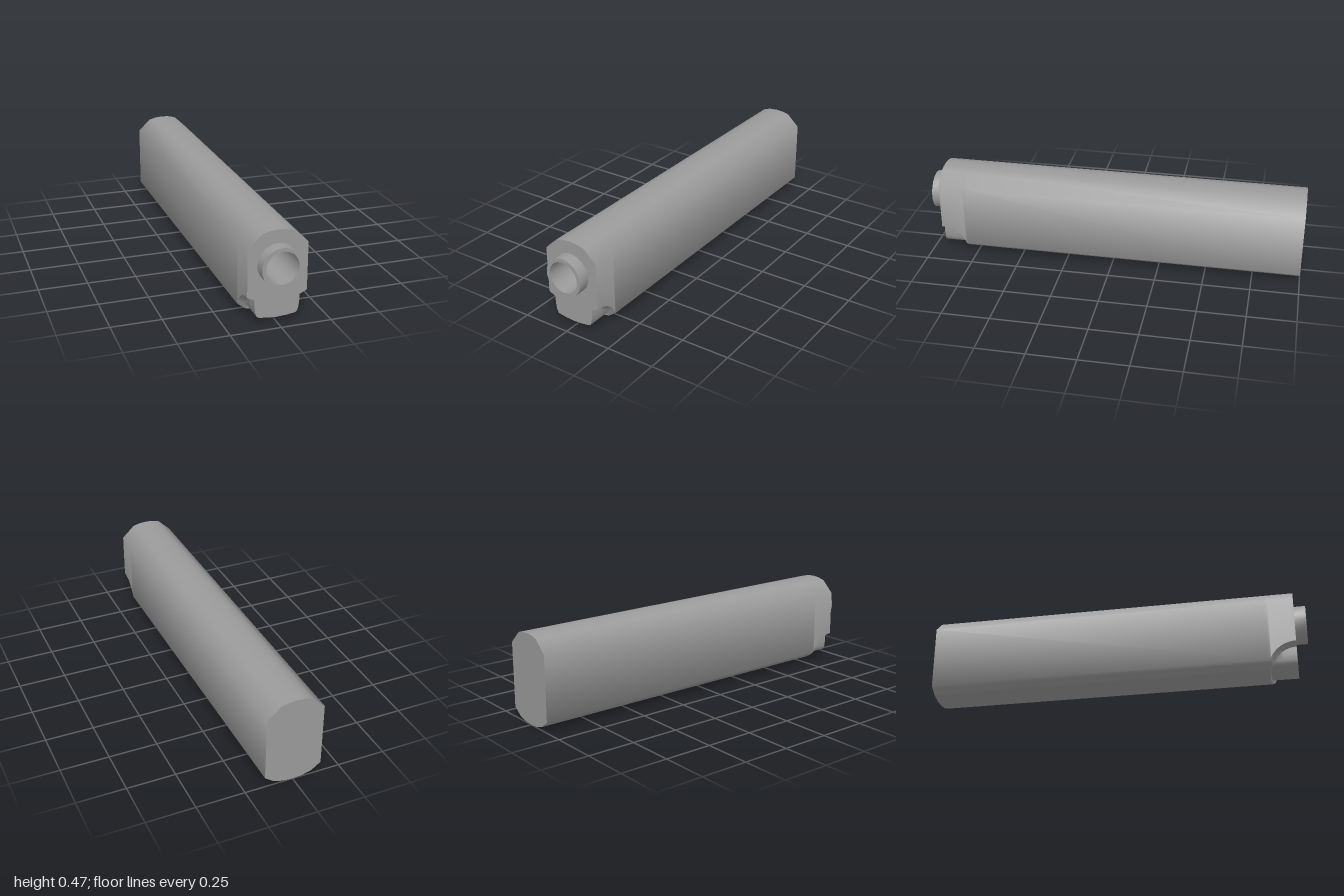
import * as THREE from 'three';
import { toCreasedNormals, mergeGeometries } from 'three/addons/utils/BufferGeometryUtils.js';

const BACK = -1, FRONT = 0.94, NOTCH = 0.145, BORE_Y = 0.299, BORE_R = 0.082, SIDES = 18;

// Half outlines as [x, y]: underside of the body, underside of the narrow front lug, top of the body
const BOTTOM = [[0, 0], [0.05, 0.004], [0.1, 0.018], [0.148, 0.053]];
const LUG = [[0, 0.026], [0.05, 0.029], [0.09, 0.035], [0.1, 0.041], [0.107, 0.06], [0.111, 0.09], [0.112, 0.127]];
const TOP = [[0.148, 0.388], [0.08, 0.452], [0.04, 0.462], [0, 0.465]];
const XS = [0, 0.05, 0.09, 0.1, 0.107, 0.111, 0.112, 0.13, 0.148];
// Radius of the notch as [x, radius]
const RADIUS = [[0, 0.143], [0.1, 0.14], [0.112, 0.127], [0.148, NOTCH]];

function interpolate(points, x) {
  for (let i = 1; i < points.length; i++) {
    const [x0, y0] = points[i - 1], [x1, y1] = points[i];
    if (x <= x1) return y0 + (y1 - y0) * (x - x0) / (x1 - x0);
  }
  return Infinity;
}

// Height of the underside at (x, z): a quarter-round notch cut around the lug
function underside(x, z) {
  const r = interpolate(RADIUS, x);
  const ledge = Math.sqrt(Math.max(0, r * r - (FRONT - z) ** 2));
  return Math.max(interpolate(BOTTOM, x), Math.min(interpolate(LUG, x), ledge));
}

// Closed cross-section, counter-clockwise seen from the front
function section(z) {
  const low = XS.map(x => [x, underside(x, z)]);
  const mirror = pts => pts.map(([x, y]) => [-x, y]).reverse();
  return [...mirror(low.slice(1)), ...low, ...TOP, ...mirror(TOP.slice(0, -1))]
    .map(([x, y]) => new THREE.Vector2(x, y));
}

function loftedSkin() {
  const zs = [BACK];
  const steps = 40;
  for (let i = 0; i <= steps; i++) zs.push(FRONT - NOTCH * Math.cos(i / steps * Math.PI / 2));
  const position = [], index = [];
  const n = section(BACK).length;
  zs.forEach((z, i) => {
    section(z).forEach((p, j) => {
      position.push(p.x, p.y, z);
      if (i === 0) return;
      const k = (j + 1) % n, a = (i - 1) * n, b = i * n;
      index.push(a + j, a + k, b + k, a + j, b + k, b + j);
    });
  });
  const geometry = new THREE.BufferGeometry();
  geometry.setAttribute('position', new THREE.Float32BufferAttribute(position, 3));
  geometry.setIndex(index);
  return toCreasedNormals(geometry, 1.02);
}

export function createModel() {
  const group = new THREE.Group();
  const material = new THREE.MeshStandardMaterial({ color: 0x9b9b9b });
  const add = (name, geometry) => {
    const mesh = new THREE.Mesh(geometry, material);
    mesh.name = name;
    group.add(mesh);
  };

  // Long body with flat ends, the front one pierced by the bore
  const face = new THREE.Shape(section(FRONT));
  const hole = [];
  for (let i = 0; i < SIDES; i++) {
    const a = i / SIDES * Math.PI * 2;
    hole.push(new THREE.Vector2(BORE_R * Math.sin(a), BORE_Y + BORE_R * Math.cos(a)));
  }
  face.holes.push(new THREE.Path(hole));
  const caps = [
    new THREE.ShapeGeometry(face).translate(0, 0, FRONT),
    new THREE.ShapeGeometry(new THREE.Shape(section(BACK))).rotateY(Math.PI).translate(0, 0, BACK),
  ].map(cap => cap.toNonIndexed().deleteAttribute('uv'));
  add('body', mergeGeometries([loftedSkin(), ...caps]));

  // Muzzle ring and the bore running back into the body
  const profile = [[0.101, FRONT], [0.101, 1], [BORE_R, 1], [BORE_R, 0.5], [0, 0.5]]
    .map(([r, z]) => new THREE.Vector2(r, z));
  const muzzle = new THREE.LatheGeometry(profile, SIDES).rotateX(Math.PI / 2).translate(0, BORE_Y, 0);
  add('muzzle', toCreasedNormals(muzzle, 0.7));

  return group;
}
